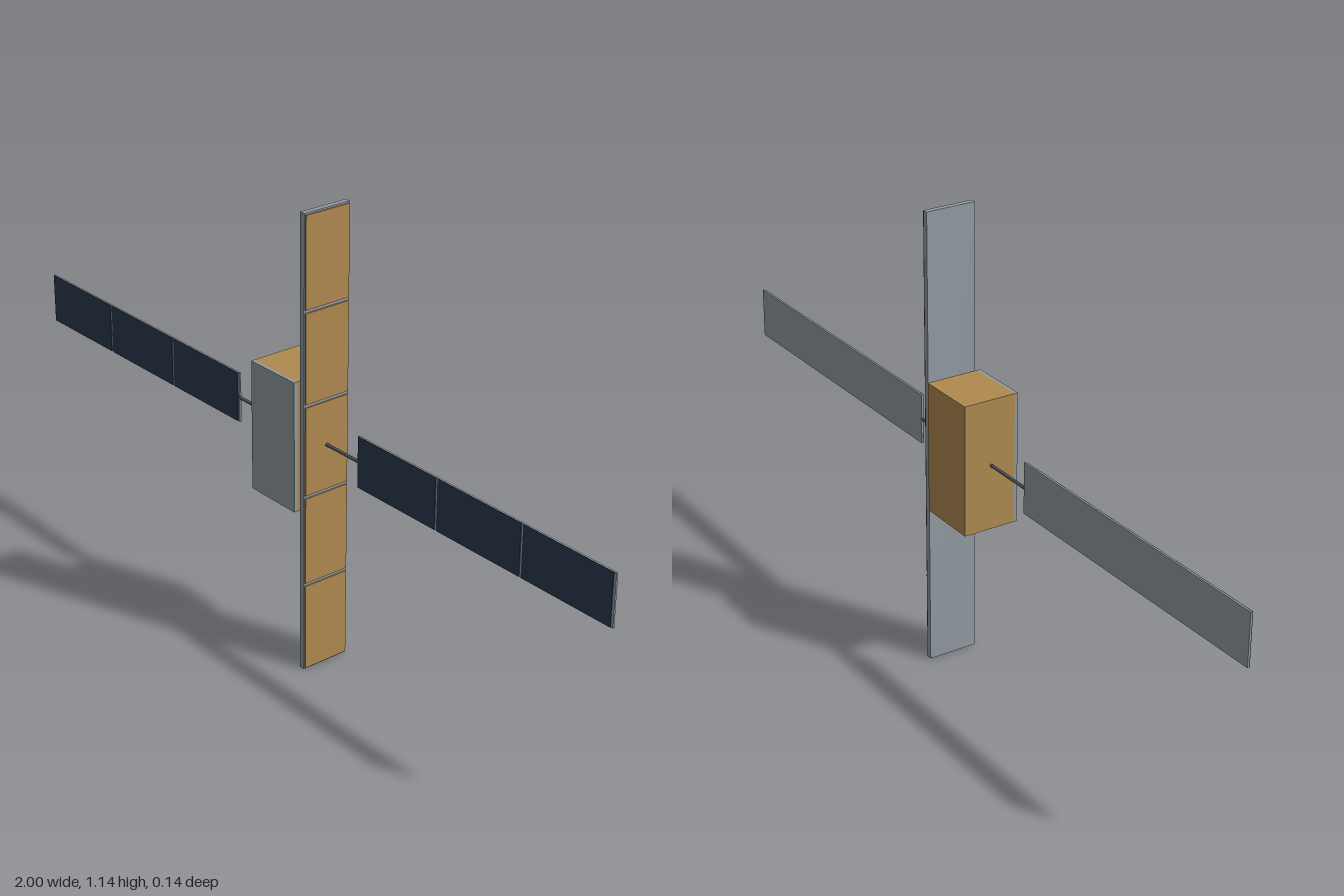
import * as THREE from 'three';

const mat = (name, color) => {
  const m = new THREE.MeshStandardMaterial({ color });
  m.name = name;
  return m;
};

export function createModel() {
  const silver = mat('silver', 0x929ba2);
  const gold = mat('gold foil', 0xb08a50);
  const navy = mat('solar cell blue', 0x2b3a50);
  const dark = mat('dark metal', 0x4a525a);
  const root = new THREE.Group();
  root.name = 'satellite';

  // Box given by its minimum and maximum corners
  const box = (name, material, [x0, y0, z0], [x1, y1, z1], parent = root) => {
    const mesh = new THREE.Mesh(new THREE.BoxGeometry(x1 - x0, y1 - y0, z1 - z0), material);
    mesh.position.set((x0 + x1) / 2, (y0 + y1) / 2, (z0 + z1) / 2);
    mesh.name = name;
    parent.add(mesh);
  };
  const midY = 0.572;

  // Foil-wrapped body with a radiator on the front
  box('body', gold, [-0.08, 0.41, -0.071], [0.075, 0.735, 0.063]);
  box('radiator', silver, [-0.08, 0.41, 0.063], [0.075, 0.735, 0.071]);

  // Radar antenna: backing slab, mount and five face panels
  const antenna = new THREE.Group();
  antenna.name = 'antenna';
  root.add(antenna);
  box('antennaMount', dark, [0.075, 0.457, -0.045], [0.08, 0.688, 0.045], antenna);
  box('antennaSlab', silver, [0.086, 0, -0.063], [0.1, 1.14, 0.063], antenna);
  const pitch = 1.14 / 5;
  for (let i = 0; i < 5; i++) {
    box('antennaPanel', gold, [0.1, i * pitch + 0.004, -0.061], [0.104, (i + 1) * pitch - 0.004, 0.061], antenna);
  }

  // Boom running through the body to both wings
  const boom = new THREE.Mesh(new THREE.CylinderGeometry(0.004, 0.004, 0.436, 12), dark);
  boom.rotation.z = Math.PI / 2;
  boom.position.set(0, midY, 0);
  boom.name = 'boom';
  root.add(boom);

  // Solar wings, three cell plates on the front of each
  for (const [name, x0] of [['rightWing', -1], ['leftWing', 0.215]]) {
    const wing = new THREE.Group();
    wing.name = name;
    root.add(wing);
    box('wingPanel', silver, [x0, 0.509, -0.0025], [x0 + 0.785, 0.636, 0.0015], wing);
    for (let i = 0; i < 3; i++) {
      const x = x0 + i * 0.2615;
      box('solarCells', navy, [x, 0.509, 0.0015], [x + 0.2555, 0.636, 0.003], wing);
    }
  }
  return root;
}
